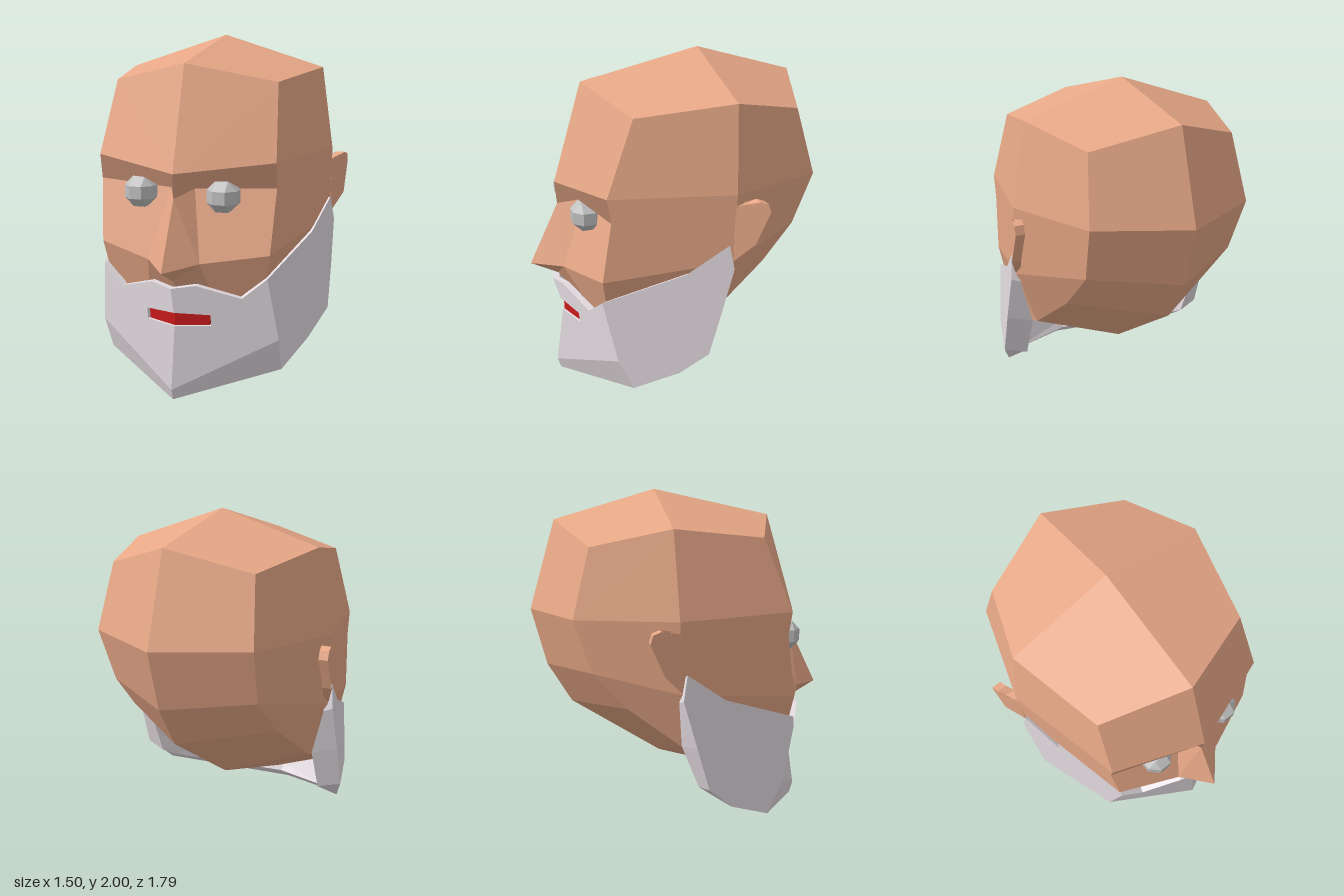
import * as THREE from 'three';
import { ConvexGeometry } from 'three/addons/geometries/ConvexGeometry.js';

const skin = new THREE.MeshStandardMaterial({ color: 0xe6a786 });
const beardGrey = new THREE.MeshStandardMaterial({ color: 0xe4dce1 });
const lipRed = new THREE.MeshStandardMaterial({ color: 0xc81b1b });
const eyeGrey = new THREE.MeshStandardMaterial({ color: 0xc0c0c0 });

const flip = ([x, y, z]) => [x === 0 ? 0 : -x, y, z];

// Area-weighted normal of one triangle
function cross(t) {
  const [a, b, c] = t.map((p) => new THREE.Vector3(...p));
  return b.sub(a).cross(c.sub(a));
}

// Mesh from facets; each facet is a list of triangles sharing one normal
function facetMesh(name, facets, material) {
  const position = [];
  const normal = [];
  for (const facet of facets) {
    const n = new THREE.Vector3();
    for (const t of facet) n.add(cross(t));
    n.normalize();
    for (const p of facet.flat()) {
      position.push(...p);
      normal.push(n.x, n.y, n.z);
    }
  }
  const g = new THREE.BufferGeometry();
  g.setAttribute('position', new THREE.Float32BufferAttribute(position, 3));
  g.setAttribute('normal', new THREE.Float32BufferAttribute(normal, 3));
  const m = new THREE.Mesh(g, material);
  m.name = name;
  return m;
}

// Turn a triangle so that it faces away from a centre
function outward(t, centre) {
  const mid = new THREE.Vector3();
  for (const p of t) mid.add(new THREE.Vector3(...p).divideScalar(3));
  return cross(t).dot(mid.sub(centre)) < 0 ? [t[0], t[2], t[1]] : t;
}

// Fan-split the faces of one half ("/" joins faces into one facet) and mirror across x = 0
function mirrored(points, faces, centre) {
  const facets = [];
  for (const face of faces) {
    const half = [];
    for (const part of face.split('/')) {
      const p = part.split(' ').map((k) => points[k]);
      for (let i = 1; i < p.length - 1; i++) half.push([p[0], p[i], p[i + 1]]);
    }
    facets.push(half.map((t) => outward(t, centre)), half.map((t) => outward(t.map(flip), centre)));
  }
  return facets;
}

function makeHead() {
  const p = {
    // centre line, brow over the crown to the chin
    c0: [0, 1.27, 0.73], c1: [0, 1.845, 0.55], c2: [0, 2, -0.15], c3: [0, 1.83, -0.74], c4: [0, 1.31, -0.895],
    c5: [0, 0.97, -0.81], c6: [0, 0.73, -0.67], c7: [0, 0.37, -0.13], c8: [0, 0.14, 0.6],
    // front corner column
    p1: [0.48, 1.745, 0.385], p2: [0.52, 1.33, 0.55], p3: [0.52, 1.19, 0.53],
    p4: [0.5, 0.83, 0.585], p5: [0.46, 0.6, 0.55], p6: [0.43, 0.35, 0.44],
    // side column
    s1: [0.61, 1.81, -0.15], s2: [0.685, 1.33, -0.13], s3: [0.68, 0.93, -0.12], s4: [0.55, 0.59, -0.1],
    // back corner column
    b1: [0.46, 1.71, -0.58], b2: [0.51, 1.33, -0.68], b3: [0.48, 1.02, -0.58], b4: [0.5, 0.81, -0.39],
    // nose and upper lip
    n0: [0, 1.135, 0.72], n1: [0.07, 1.17, 0.58], nt: [0, 0.77, 0.9], ns: [0.15, 0.79, 0.73],
    nb: [0, 0.68, 0.74], l0: [0, 0.55, 0.64], l1: [0.2, 0.55, 0.61],
  };
  const faces = [
    'c0 c1 p1 p2', 'c1 c2 s1 p1', 'c2 c3 b1 s1', 'c3 c4 b2 b1', 'c4 c5 b3 b2', 'c5 c6 b4 b3', 'c6 c7 s4 b4', 'c7 c8 p6 s4',
    'p1 s1 s2 p2', 's1 b1 b2 s2', 's2 b2 b3 s3', 's3 b3 b4 s4',
    'p2 s2 p3/p3 s2 s3 p4', 'p4 s3 p5/p5 s3 s4', 'p5 s4 p6',
    'c0 p2 p3 n1/c0 n1 n0', 'n0 nt ns', 'nt ns nb', 'n0 ns n1', 'n1 ns p4/n1 p4 p3',
    'nb ns l1 l0', 'ns p4 p5 l1', 'l0 l1 p6 c8', 'l1 p5 p6',
  ];
  return facetMesh('head', mirrored(p, faces, new THREE.Vector3(0, 0.95, 0)), skin);
}

function makeBeard() {
  const outer = {
    t0: [0, 0.65, 0.775], t1: [0.13, 0.67, 0.74], i: [0.36, 0.59, 0.64], g: [0.49, 0.7, 0.59],
    h: [0.63, 0.87, 0.14], a: [0.69, 1.04, -0.09], b: [0.71, 0.9, -0.115], n: [0.715, 0.63, -0.04], c: [0.715, 0.38, 0.03],
    d: [0.63, 0.23, 0.18], e: [0.535, 0.12, 0.43], f: [0.54, 0.33, 0.52],
    j: [0, 0.065, 0.78], k: [0, 0, 0.76],
    m0: [0, 0.5, 0.735], m1: [0.19, 0.485, 0.665], m2: [0.19, 0.42, 0.66], m3: [0, 0.42, 0.725],
  };
  const inner = {
    a: [0.67, 1.03, -0.1], b: [0.66, 0.88, -0.13], n: [0.58, 0.6, -0.1], c: [0.58, 0.345, 0], d: [0.55, 0.27, 0.14],
    e: [0.46, 0.17, 0.38], f: [0.48, 0.35, 0.47], j: [0, 0.12, 0.69], k: [0, 0.08, 0.65],
  };
  const faces = [
    't0 t1 m1 m0/t1 i m1/i g f/i f m1/m1 f m2/m2 f j/m2 j m3', 'j f e k',
    'g h f/h a b/h b n/h n c/h c f/f c d/f d e',
  ];
  // lookup from an outer corner to its inner partner
  const partner = new Map();
  for (const [name, q] of Object.entries(outer)) {
    const v = inner[name] ?? [q[0] * 0.96, q[1], q[2] - 0.04];
    partner.set(q.join(), v);
    partner.set(flip(q).join(), flip(v));
  }
  const into = (q) => partner.get(q.join());
  const shell = mirrored(outer, faces, new THREE.Vector3(0, 0.55, 0));
  const lining = shell.flat().map(([a, b, c]) => [[into(a), into(c), into(b)]]);
  // close the rim and the mouth opening along edges used once
  const edges = new Map();
  for (const t of shell.flat()) {
    t.forEach((a, i) => {
      const b = t[(i + 1) % 3];
      if (!edges.delete(`${b.join()}|${a.join()}`)) edges.set(`${a.join()}|${b.join()}`, [a, b]);
    });
  }
  const rim = [...edges.values()].map(([a, b]) => [[b, a, into(a)], [b, into(a), into(b)]]);
  return facetMesh('beard', [...shell, ...lining, ...rim], beardGrey);
}

// Ear: a flap leaning out towards the back, with a thick rear rim
function makeEar(side) {
  const front = [[0.68, 1.265, -0.12], [0.715, 1.27, -0.2], [0.74, 1.295, -0.24], [0.75, 1.28, -0.285],
    [0.75, 1.23, -0.3], [0.745, 1.05, -0.22], [0.685, 0.94, -0.12]];
  const last = front.length - 1;
  const rear = front.map(([x, y, z], n) => [x - (n === 0 || n === last ? 0.03 : 0.055), y, z]);
  const facets = [[], []];
  for (let n = 1; n < last; n++) {
    facets[0].push([front[0], front[n + 1], front[n]]);
    facets[1].push([rear[0], rear[n], rear[n + 1]]);
  }
  for (let n = 0; n <= last; n++) {
    const m = (n + 1) % front.length;
    facets.push([[front[n], front[m], rear[n]], [front[m], rear[m], rear[n]]]);
  }
  // the mirrored ear needs its corners in the opposite order
  const sided = facets.map((f) => f.map(([a, b, c]) => (side > 0 ? [a, b, c] : [flip(a), flip(c), flip(b)])));
  return facetMesh(side > 0 ? 'leftEar' : 'rightEar', sided, skin);
}

// Eye: a ball of eighteen squares and eight triangles
function makeEye(side) {
  const points = [];
  const s = 0.0352;
  const l = s * (1 + Math.SQRT2);
  for (const [x, y, z] of [[l, s, s], [s, l, s], [s, s, l]]) {
    for (let i = 0; i < 8; i++) {
      points.push(new THREE.Vector3(i & 1 ? x : -x, i & 2 ? y : -y, i & 4 ? z : -z));
    }
  }
  const eye = new THREE.Mesh(new ConvexGeometry(points), eyeGrey);
  eye.name = side > 0 ? 'leftEye' : 'rightEye';
  eye.position.set(0.242 * side, 1.145, 0.6);
  return eye;
}

// Lips: a shallow chevron filling the mouth opening
function makeLips() {
  const plan = new THREE.Shape([[0, 0.715], [0.18, 0.65], [0.18, 0.59], [0, 0.64], [-0.18, 0.59], [-0.18, 0.65]]
    .map(([x, z]) => new THREE.Vector2(x, -z)));
  const shape = new THREE.ExtrudeGeometry(plan, { depth: 0.076, bevelEnabled: false });
  shape.rotateX(-Math.PI / 2);
  const lips = new THREE.Mesh(shape, lipRed);
  lips.name = 'lips';
  lips.position.y = 0.422;
  return lips;
}

export function createModel() {
  const model = new THREE.Group();
  model.name = 'beardedHead';
  model.add(makeHead(), makeBeard(), makeLips());
  for (const side of [1, -1]) model.add(makeEar(side), makeEye(side));
  return model;
}
